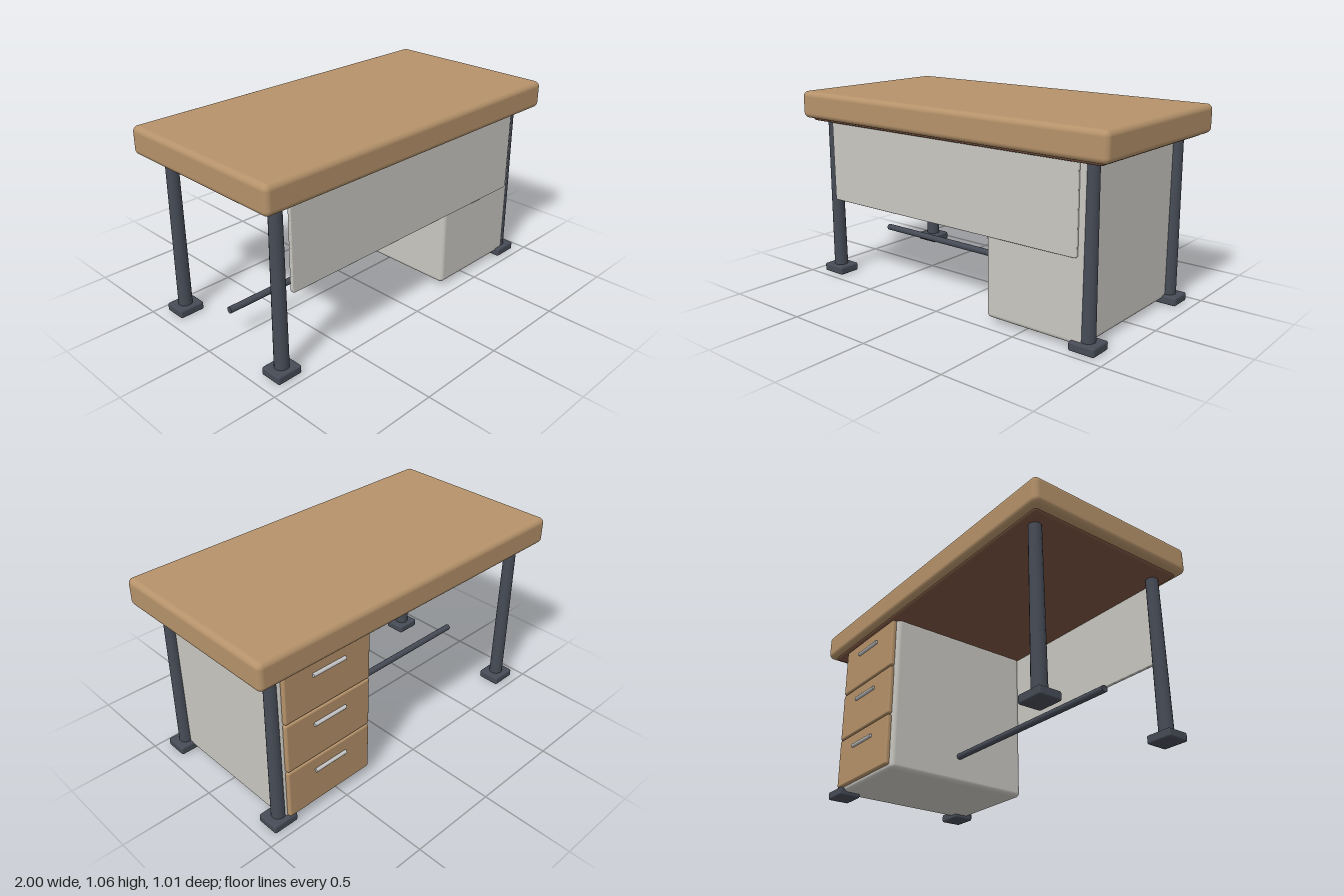
import * as THREE from 'three';
import { RoundedBoxGeometry } from 'three/addons/geometries/RoundedBoxGeometry.js';

const mat = (name, color) => {
  const m = new THREE.MeshStandardMaterial({ color });
  m.name = name;
  return m;
};

export function createModel() {
  const wood = mat('wood', 0xb5926a);
  const darkWood = mat('darkWood', 0x7a5340);
  const paint = mat('greyPaint', 0xc9c7c1);
  const steel = mat('darkSteel', 0x464b56);
  const metal = mat('handleMetal', 0xc6c6c6);

  const desk = new THREE.Group();
  desk.name = 'desk';

  const add = (name, geometry, material, x, y, z) => {
    const mesh = new THREE.Mesh(geometry, material);
    mesh.name = name;
    mesh.position.set(x, y, z);
    desk.add(mesh);
    return mesh;
  };
  // Rounded block given by its lower and upper corners
  const block = (name, material, [x0, y0, z0], [x1, y1, z1], r) =>
    add(name, new RoundedBoxGeometry(x1 - x0, y1 - y0, z1 - z0, 4, r), material,
      (x0 + x1) / 2, (y0 + y1) / 2, (z0 + z1) / 2);
  // Round bar lying along x
  const bar = (name, material, x0, x1, y, z, r) => {
    const g = new THREE.CylinderGeometry(r, r, x1 - x0, 16).rotateZ(Math.PI / 2);
    return add(name, g, material, (x0 + x1) / 2, y, z);
  };

  // Worktop and the thin tray under it
  block('worktop', wood, [-1, 0.91, -0.505], [1, 1.06, 0.505], 0.03);
  block('underTray', darkWood, [-0.955, 0.895, -0.468], [0.955, 0.93, 0.468], 0.015);

  // Four tapered legs on square feet
  for (const x of [-0.862, 0.862]) {
    for (const z of [-0.393, 0.393]) {
      add('leg', new THREE.CylinderGeometry(0.033, 0.038, 0.87, 16), steel, x, 0.475, z);
      block('foot', steel, [x - 0.072, 0, z - 0.063], [x + 0.072, 0.046, z + 0.063], 0.01);
    }
  }

  // Stretcher bar into the side of the cabinet
  bar('stretcher', steel, -0.86, 0.32, 0.175, 0, 0.018);

  // Modesty panel with softly rounded corners and edges
  const w = 0.82, y0 = 0.45, y1 = 0.905, r = 0.016, e = 0.005;
  const s = new THREE.Shape();
  s.moveTo(-w + r, y0 + e);
  s.lineTo(w - r, y0 + e);
  s.quadraticCurveTo(w - e, y0 + e, w - e, y0 + r);
  s.lineTo(w - e, y1);
  s.lineTo(-w + e, y1);
  s.lineTo(-w + e, y0 + r);
  s.quadraticCurveTo(-w + e, y0 + e, -w + r, y0 + e);
  add('modestyPanel', new THREE.ExtrudeGeometry(s, {
    depth: 0.01, bevelEnabled: true, bevelSize: e, bevelThickness: e, bevelSegments: 3, curveSegments: 6,
  }), paint, 0, 0, 0.43);

  // Cabinet with three drawers facing the back
  block('cabinet', paint, [0.28, 0.022, -0.432], [0.858, 0.91, 0.432], 0.025);
  for (let i = 0; i < 3; i++) {
    const y = 0.047 + i * 0.2865;
    block('drawerFront', wood, [0.302, y, -0.455], [0.836, y + 0.281, -0.425], 0.01);
    bar('drawerHandle', metal, 0.469, 0.669, y + 0.204, -0.461, 0.01);
  }

  return desk;
}
